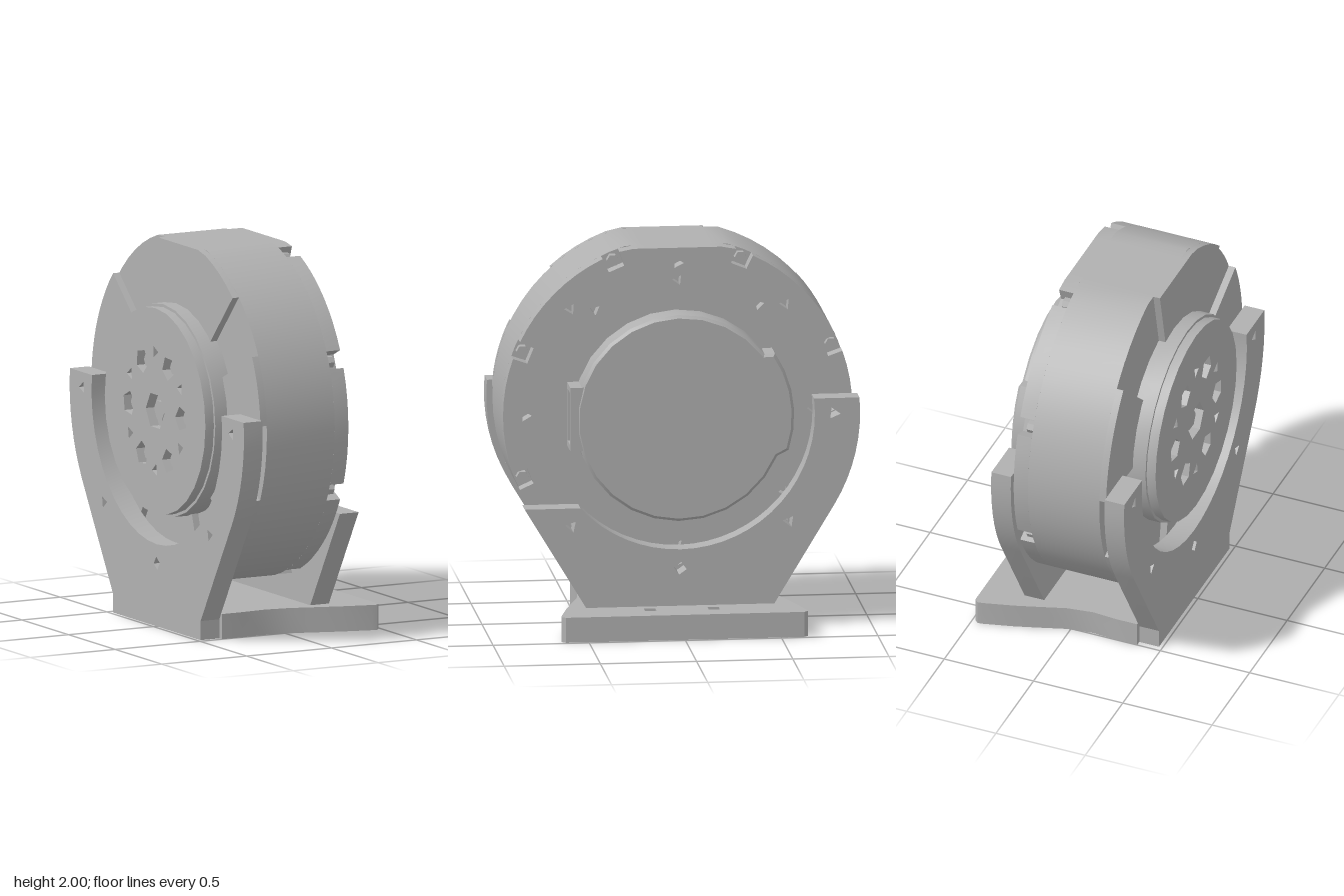
import * as THREE from 'three';
import { toCreasedNormals } from 'three/addons/utils/BufferGeometryUtils.js';

const CY = 1.13; // height of the motor axis, which runs along x
const gray = new THREE.MeshStandardMaterial({ color: 0xb0b0b0 });
gray.name = 'metalGray';

// Point at a radius and angle around the axis; angle 0 is the front (+z), 90 is up
const polar = (r, deg) => {
  const a = THREE.MathUtils.degToRad(deg);
  return new THREE.Vector2(-r * Math.cos(a), CY + r * Math.sin(a));
};
const arc = (r, from, to, n) =>
  Array.from({ length: n + 1 }, (_, i) => polar(r, from + ((to - from) * i) / n));
const ring = (r, n) => arc(r, 0, 360, n).slice(0, -1);

// Small polygonal hole around a 2D centre
const hole = (c, r, sides, turn = 0) => {
  const pts = [];
  for (let i = 0; i < sides; i++) {
    const a = turn + (i / sides) * Math.PI * 2;
    pts.push(new THREE.Vector2(c.x + r * Math.cos(a), c.y + r * Math.sin(a)));
  }
  return new THREE.Path(pts);
};

export function createModel() {
  const model = new THREE.Group();
  model.name = 'motorInCradle';

  const add = (name, geometry) => {
    const mesh = new THREE.Mesh(geometry, gray);
    mesh.name = name;
    model.add(mesh);
    return mesh;
  };
  // Extrude an outline along x from x0 to x1
  const slab = (name, pts, x0, x1, holes = [], bevel = 0) => {
    const shape = new THREE.Shape(pts);
    shape.holes.push(...holes);
    const g = new THREE.ExtrudeGeometry(shape, {
      depth: x1 - x0 - 2 * bevel, bevelEnabled: bevel > 0, bevelSegments: 1,
      bevelSize: bevel, bevelThickness: bevel, bevelOffset: -bevel,
    });
    g.translate(0, 0, x0 + bevel);
    g.rotateY(Math.PI / 2);
    return add(name, toCreasedNormals(g, 0.5));
  };
  const screw = (name, p, r, x0, x1) => {
    const g = new THREE.CylinderGeometry(r, r, x1 - x0, 6).rotateZ(Math.PI / 2);
    g.translate((x0 + x1) / 2, p.y, -p.x);
    add(name, toCreasedNormals(g, 0.5));
  };

  // Drum, flattened at the top and bottom
  const R = 0.908;
  const flatten = (pts) => pts.map((p) =>
    new THREE.Vector2(p.x, THREE.MathUtils.clamp(p.y, CY - 0.867, CY + 0.87)));
  slab('drumBody', flatten(ring(R, 64)), -0.33, 0.07);

  // Front layer of the drum with screw pockets in its rim
  const rim = [];
  for (let k = 0; k < 8; k++) {
    const a = 22.5 + 45 * k;
    rim.push(polar(R, a - 3), polar(0.83, a - 3), polar(0.83, a + 3));
    rim.push(...arc(R, a + 3, a + 42, 8).slice(0, -1));
    screw('rimScrew', polar(0.868, a), 0.032, 0.06, 0.11);
  }
  const faceHoles = [0, 45, 90, 135, 180, 225, 270, 315].map((a) => hole(polar(0.79, a), 0.032, 3, a));
  faceHoles.push(...[52, 90, 127, 180, 218, 270].map((a) => hole(polar(0.7, a), 0.03, 3, a + 1)));
  slab('drumFace', flatten(rim), 0.07, 0.15, faceHoles);

  // Raised lobes on the rear face, with gaps between them
  const lobes = [[3, 26], [48, 102], [138, 177], [203, 238], [262, 288], [312, 337]];
  for (const [from, to] of lobes) {
    const pts = [...arc(R, from, to, 10), ...arc(0.52, to, from, 6)];
    slab('rearLobe', flatten(pts), -0.367, -0.33);
  }

  // Rotor disc on the left with its hole pattern
  slab('rotorDisc', ring(0.555, 28), -0.44, -0.32);
  const rotorHoles = [hole(polar(0, 0), 0.1, 6)];
  for (let k = 0; k < 6; k++) {
    const p = polar(0.28, 60 * k);
    rotorHoles.push(hole(p, 0.065, 5, k), hole(polar(0.31, 60 * k + 30), 0.035, 3, k));
    screw('rotorScrew', p, 0.035, -0.46, -0.43);
  }
  slab('rotorPlate', ring(0.54, 28), -0.49, -0.44, rotorHoles);
  screw('rotorCentre', polar(0, 0), 0.055, -0.465, -0.43);

  // Cap on the right with a bulge at the back
  slab('cap', [
    ...arc(0.545, 203, 503, 22), ...arc(0.59, 146, 198, 5),
  ], 0.14, 0.302, [], 0.015);

  // Connector socket facing the front
  const frame = new THREE.Shape([
    new THREE.Vector2(0.15, 0.97), new THREE.Vector2(0.297, 0.97),
    new THREE.Vector2(0.297, 1.305), new THREE.Vector2(0.15, 1.305),
  ]);
  frame.holes.push(new THREE.Path([
    new THREE.Vector2(0.17, 1.0), new THREE.Vector2(0.17, 1.275),
    new THREE.Vector2(0.28, 1.275), new THREE.Vector2(0.28, 1.0),
  ]));
  add('connectorFrame', new THREE.ExtrudeGeometry(frame, { depth: 0.14, bevelEnabled: false })
    .translate(0, 0, 0.435));
  for (const y of [1.07, 1.2]) {
    add('connectorPin', new THREE.BoxGeometry(0.04, 0.05, 0.1).translate(0.225, y, 0.51));
  }

  // Cradle plates: outer and inner arcs, front arm ending at a chosen height
  const cradle = (name, frontTop, x0, x1) => {
    const angle = (r, y) => THREE.MathUtils.radToDeg(Math.asin((y - CY) / r));
    const backTop = 1.21;
    const pts = [
      new THREE.Vector2(-0.47, 0.1),
      ...arc(0.935, -31, angle(0.935, frontTop), frontTop > 1 ? 8 : 1),
      ...arc(0.7, angle(0.7, frontTop), -180 - angle(0.7, backTop), 24),
      ...arc(0.935, -180 - angle(0.935, backTop), -149, 8),
      new THREE.Vector2(0.47, 0.1),
    ];
    const spots = frontTop > 1 ? [0, 180, 225, 270, 315] : [180, 225, 270, 315];
    slab(name, pts, x0, x1, spots.map((a) => hole(polar(0.8, a), 0.034, a === 270 ? 4 : 3, a)));
  };
  cradle('leftCradle', 1.21, -0.48, -0.37);
  cradle('rightCradle', 0.66, 0.155, 0.265);

  // Base plate, wide on the right and curving in towards the left
  const side = [[0.485, 0.62], [0.465, 0.64], [0.44, 0.637], [0.28, 0.595], [0.14, 0.55],
    [0.02, 0.51], [-0.12, 0.49], [-0.25, 0.5], [-0.37, 0.5], [-0.37, 0.47], [-0.48, 0.47]];
  const outline = [...side, ...side.map(([x, z]) => [x, -z]).reverse()]
    .map(([x, z]) => new THREE.Vector2(x, z));
  const base = new THREE.Shape(outline);
  for (const s of [-1, 1]) {
    for (const [x, z, r] of [[0.345, 0.165, 0.042], [0.2, 0.28, 0.048], [-0.23, 0.19, 0.036]]) {
      base.holes.push(hole(new THREE.Vector2(x, s * z), r, 4, Math.PI / 4));
    }
  }
  const baseGeometry = new THREE.ExtrudeGeometry(base, { depth: 0.132, bevelEnabled: false });
  add('basePlate', toCreasedNormals(baseGeometry.rotateX(-Math.PI / 2), 0.4));

  return model;
}
